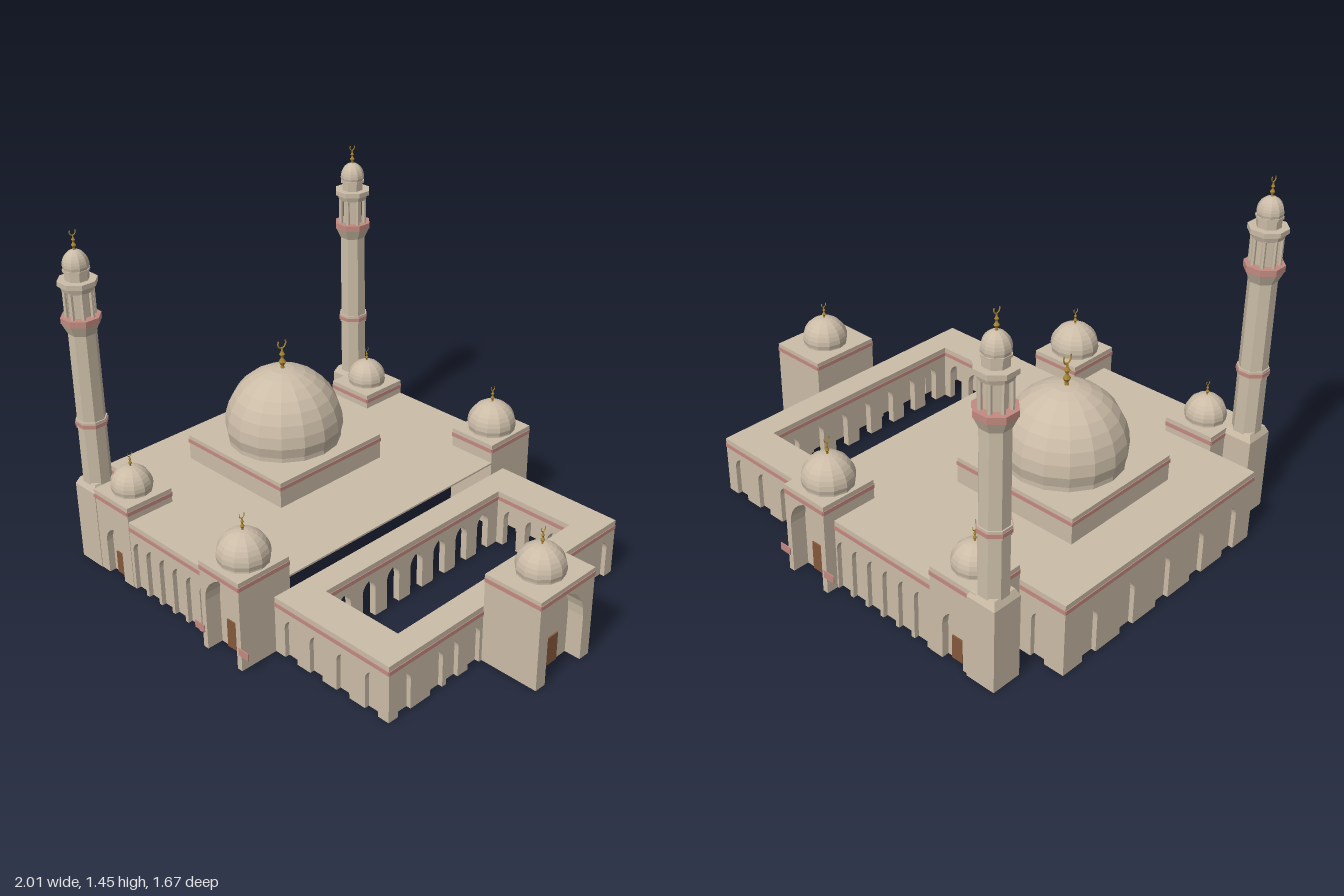
import * as THREE from 'three';

const mat = (name, hex) => Object.assign(new THREE.MeshStandardMaterial({ color: hex, flatShading: true }), { name });

export function createModel() {
  const stone = mat('stone', 0xcbbca7), pink = mat('pink stripe', 0xc28a80);
  const wood = mat('wood', 0x85593a), gold = mat('gold', 0xa5822f);
  const root = new THREE.Group();
  root.name = 'mosque';

  function add(parent, name, geo, material, x = 0, y = 0, z = 0) {
    const m = new THREE.Mesh(geo, material);
    m.name = name;
    m.position.set(x, y, z);
    parent.add(m);
    return m;
  }
  // box given by its min and max corners
  function block(parent, name, material, x0, x1, y0, y1, z0, z1) {
    return add(parent, name, new THREE.BoxGeometry(x1 - x0, y1 - y0, z1 - z0), material,
      (x0 + x1) / 2, (y0 + y1) / 2, (z0 + z1) / 2);
  }
  function group(parent, name, x = 0, y = 0, z = 0, ry = 0) {
    const g = new THREE.Group();
    g.name = name;
    g.position.set(x, y, z);
    g.rotation.y = ry;
    parent.add(g);
    return g;
  }

  // Wall whose outer face is local z = 0, from u0 to u1, with pointed arches.
  // arches: list of centres; a: arch width, top; t: thickness; band: stripe base
  function wall(parent, name, x, z, ry, u0, u1, h, o = {}) {
    const { arches = [], w = 0.065, top = 0.2, t = 0.04, band, panel = 0.02 } = o;
    const g = group(parent, name, x, 0, z, ry);
    const s = new THREE.Shape();
    s.moveTo(u0, 0);
    for (const c of [...arches].sort((a, b) => a - b)) {
      const spring = top - w * 0.75;
      s.lineTo(c - w / 2, 0);
      s.lineTo(c - w / 2, spring);
      s.quadraticCurveTo(c - w / 2, top - w * 0.25, c, top);
      s.quadraticCurveTo(c + w / 2, top - w * 0.25, c + w / 2, spring);
      s.lineTo(c + w / 2, 0);
    }
    s.lineTo(u1, 0);
    s.lineTo(u1, h);
    s.lineTo(u0, h);
    s.closePath();
    const geo = new THREE.ExtrudeGeometry(s, { depth: t, bevelEnabled: false, curveSegments: 5 });
    add(g, name + 'Face', geo.translate(0, 0, -t), stone);
    if (arches.length && panel) {
      block(g, name + 'Recess', stone, u0 + 0.002, u1 - 0.002, 0, top + 0.01, -panel - 0.004, -panel);
    }
    if (band) block(g, name + 'Stripe', pink, u0, u1, band, band + 0.017, 0, 0.003);
    return g;
  }

  // Faceted dome with drum, and a finial whose crescent lies in the yz plane
  function dome(parent, x, y, z, r, h, sides, finial) {
    const g = group(parent, 'dome', x, y, z);
    const pts = [new THREE.Vector2(r * 0.96, 0), new THREE.Vector2(r * 0.96, h * 0.06)];
    for (let i = 0; i <= 8; i++) {
      const a = (i / 8) * Math.PI / 2;
      pts.push(new THREE.Vector2(Math.max(r * Math.cos(a), 0), h * (0.2 + 0.8 * Math.sin(a))));
    }
    add(g, 'domeShell', new THREE.LatheGeometry(pts, sides), stone);
    const f = group(g, 'finial', 0, h, 0), k = finial;
    const prof = [[0.07, -0.05], [0.05, 0.08], [0.12, 0.2], [0.05, 0.31], [0.04, 0.36],
      [0.09, 0.45], [0.04, 0.54], [0.03, 0.66], [0, 0.68]];
    add(f, 'finialStem', new THREE.LatheGeometry(prof.map(p => new THREE.Vector2(p[0] * k, p[1] * k)), 8), gold);
    const c = add(f, 'crescent', new THREE.TorusGeometry(k * 0.16, k * 0.03, 4, 12, Math.PI * 1.4), gold, 0, k * 0.82, 0);
    c.rotation.set(0, Math.PI / 2, 0);
    c.geometry.rotateZ(-Math.PI * 1.2);
  }

  // Hollow tower block with an arched, doored front at local z = 0
  function tower(name, x, z, ry, w, d, h, band, o) {
    const g = group(root, name, x, 0, z, ry), b = w / 2;
    wall(g, 'portal', 0, 0, 0, -b, b, h, { arches: [0], w: o.w, top: o.top, t: o.depth + 0.01, panel: o.depth, band });
    wall(g, 'rear', 0, -d, Math.PI, -b, b, h, { t: 0.015, band });
    wall(g, 'sideA', b, -d / 2, Math.PI / 2, -d / 2, d / 2, h, { t: 0.015, band });
    wall(g, 'sideB', -b, -d / 2, -Math.PI / 2, -d / 2, d / 2, h, { t: 0.015, band });
    block(g, 'towerRoof', stone, -b, b, h - 0.008, h + 0.001, -d, 0);
    block(g, 'door', wood, -o.door / 2, o.door / 2, 0, o.doorTop, -o.depth, -o.depth + 0.006);
    dome(g, 0, h, -d / 2, o.r, o.rise, 12, o.finial);
    // undo the turn so every crescent faces the same way
    g.children[g.children.length - 1].rotation.y = -ry;
    return g;
  }

  // Prayer hall and courtyard, both long sides
  for (const s of [1, -1]) {
    const ry = s > 0 ? 0 : Math.PI;
    const side = (name, z, x0, x1, h, o) =>
      wall(root, name, 0, s * z, ry, s > 0 ? x0 : -x1, s > 0 ? x1 : -x0, h,
        { ...o, arches: o.arches.map(a => a * s) });
    side('hallWall', 0.78, -0.57, -0.07, 0.305,
      { arches: [-0.52, -0.438, -0.356, -0.274, -0.192, -0.11], top: 0.23, band: 0.27 });
    side('hallEndWall', 0.56, -1, -0.79, 0.305, { arches: [-0.88], top: 0.21, band: 0.27 });
    side('courtWall', 0.66, 0.15, 0.74, 0.247,
      { arches: [0.235, 0.37, 0.51, 0.655], top: 0.18, band: 0.21 });
    // open arcade on the short sides of the court
    wall(root, 'arcadeShort', 0.445, s * 0.5, s > 0 ? Math.PI : 0, -0.185, 0.185, 0.247,
      { arches: [-0.115, 0, 0.115], w: 0.07, top: 0.18, t: 0.03, panel: 0, band: 0.21 });
    // open arcade on the long sides
    wall(root, 'arcadeLong', s > 0 ? 0.26 : 0.63, 0, s * Math.PI / 2, -0.5, 0.5, 0.247,
      { arches: [-3, -2, -1, 0, 1, 2, 3].map(i => i * 0.135), w: 0.07, top: 0.18, t: 0.03, panel: 0, band: 0.21 });

    // side gate and corner tower
    const gate = tower('sideGate', 0.04, s * 0.83, ry, 0.22, 0.25, 0.39, 0.355,
      { w: 0.17, top: 0.35, depth: 0.07, door: 0.09, doorTop: 0.125, r: 0.105, rise: 0.128, finial: 0.075 });
    for (const e of [-1, 1]) {
      block(gate, 'gateMarker', pink, e * 0.125 - 0.027, e * 0.125 + 0.027, 0.07, 0.102, 0, 0.004);
    }
    tower('cornerTower', -0.68, s * 0.782, ry, 0.22, 0.222, 0.37, 0.335,
      { w: 0.1, top: 0.225, depth: 0.03, door: 0.052, doorTop: 0.1, r: 0.086, rise: 0.108, finial: 0.065 });
  }
  wall(root, 'hallBackWall', -1, 0, -Math.PI / 2, -0.56, 0.56, 0.305,
    { arches: [-0.42, -0.21, 0, 0.21, 0.42], w: 0.075, top: 0.21, band: 0.27 });
  wall(root, 'courtEastWall', 0.74, 0, Math.PI / 2, -0.66, 0.66, 0.247,
    { arches: [-0.58, -0.41, -0.325, -0.205, 0.205, 0.325, 0.41, 0.58], top: 0.18, band: 0.21 });
  tower('eastGate', 1, 0, Math.PI / 2, 0.315, 0.26, 0.39, 0.358,
    { w: 0.21, top: 0.355, depth: 0.07, door: 0.09, doorTop: 0.125, r: 0.098, rise: 0.12, finial: 0.075 });

  // Roofs
  block(root, 'hallRoof', stone, -0.79, 0.15, 0.3, 0.308, -0.78, 0.78);
  block(root, 'hallRoofEnd', stone, -1, -0.79, 0.3, 0.308, -0.56, 0.56);
  const roof = new THREE.Shape([[0.15, -0.66], [0.74, -0.66], [0.74, 0.66], [0.15, 0.66]].map(p => new THREE.Vector2(...p)));
  roof.holes.push(new THREE.Path([[0.26, -0.5], [0.26, 0.5], [0.63, 0.5], [0.63, -0.5]].map(p => new THREE.Vector2(...p))));
  add(root, 'courtRoof', new THREE.ExtrudeGeometry(roof, { depth: 0.008, bevelEnabled: false }).rotateX(-Math.PI / 2), stone, 0, 0.241, 0);

  // Main dome on its plinth
  block(root, 'domePlinth', stone, -0.79, -0.22, 0.29, 0.42, -0.285, 0.285);
  block(root, 'plinthStripe', pink, -0.793, -0.217, 0.387, 0.403, -0.288, 0.288);
  dome(root, -0.505, 0.42, 0, 0.248, 0.317, 16, 0.135);

  // Minarets
  for (const [x, z] of [[-0.845, 0.72], [-0.82, -0.725]]) {
    const g = group(root, 'minaret', x, 0, z);
    const ring = (name, r0, r1, y0, y1, m = stone) => add(g, name,
      new THREE.CylinderGeometry(r1, r0, y1 - y0, 8).rotateY(Math.PI / 8), m, 0, (y0 + y1) / 2, 0);
    block(g, 'minaretBase', stone, -0.065, 0.065, 0, 0.35, -0.065, 0.065);
    add(g, 'baseSlope', new THREE.CylinderGeometry(0.072, 0.092, 0.03, 4).rotateY(Math.PI / 4), stone, 0, 0.365, 0);
    ring('shaft', 0.059, 0.057, 0.37, 1.06);
    ring('shaftCollar', 0.064, 0.064, 0.622, 0.658);
    ring('shaftStripe', 0.067, 0.067, 0.632, 0.648, pink);
    ring('balconyFlare', 0.057, 0.078, 1.03, 1.075);
    ring('balconyStripe', 0.08, 0.08, 1.075, 1.1, pink);
    ring('lanternCore', 0.043, 0.043, 1.1, 1.235);
    for (let i = 0; i < 8; i++) {
      const a = (i + 0.5) * Math.PI / 4;
      add(g, 'lanternColumn', new THREE.CylinderGeometry(0.009, 0.009, 0.12, 6), stone,
        Math.cos(a) * 0.055, 1.16, Math.sin(a) * 0.055);
    }
    ring('lanternHead', 0.062, 0.07, 1.205, 1.23);
    ring('cornice', 0.079, 0.079, 1.23, 1.25);
    ring('neck', 0.048, 0.048, 1.25, 1.29);
    ring('neckRim', 0.054, 0.054, 1.284, 1.294);
    dome(g, 0, 1.29, 0, 0.052, 0.078, 10, 0.085);
  }
  return root;
}
